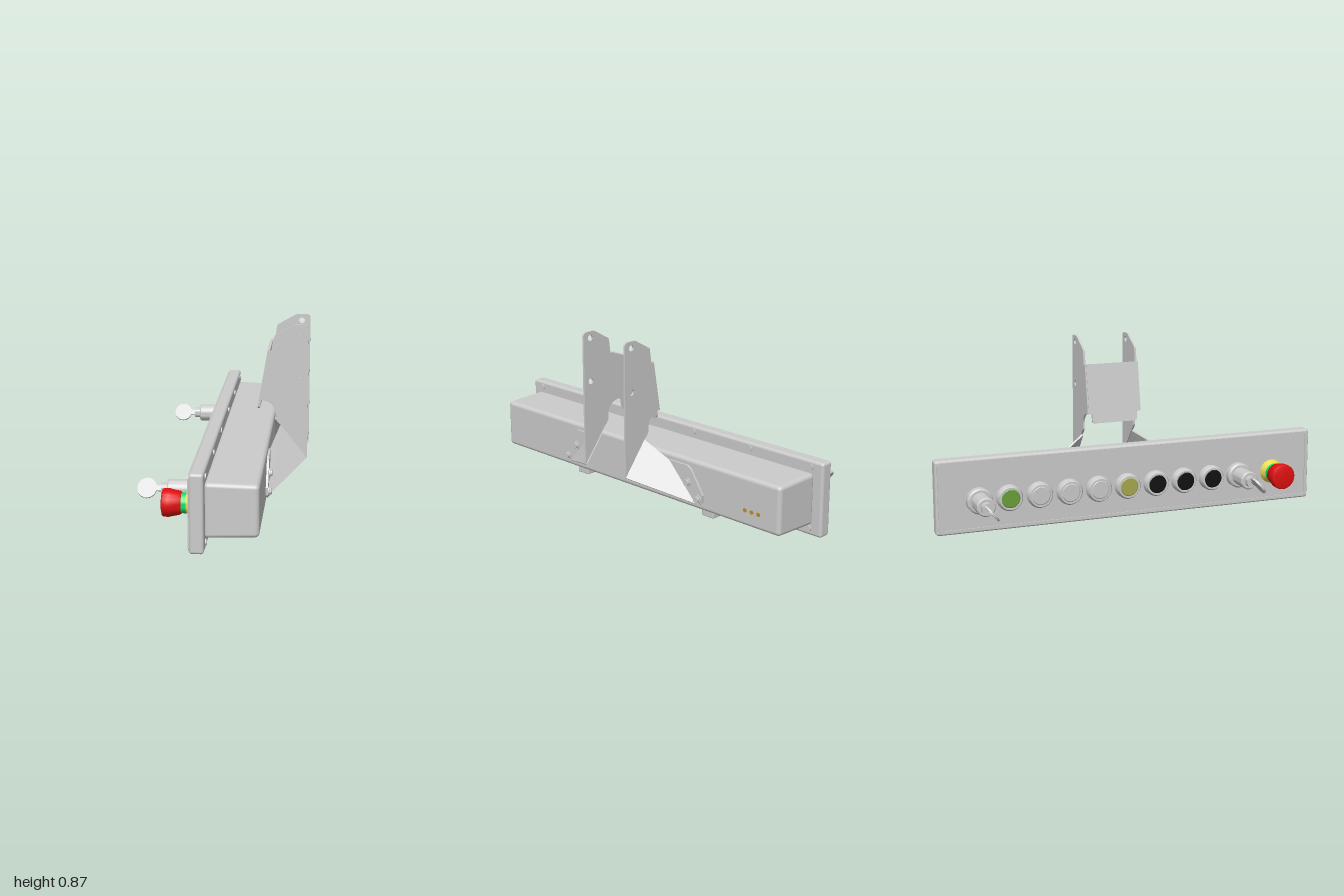
import * as THREE from 'three';
import { RoundedBoxGeometry } from 'three/addons/geometries/RoundedBoxGeometry.js';
import { ConvexGeometry } from 'three/addons/geometries/ConvexGeometry.js';
import { toCreasedNormals } from 'three/addons/utils/BufferGeometryUtils.js';

const mat = (color) => new THREE.MeshStandardMaterial({ color });
const GREY = mat(0xcccccc), RED = mat(0xe01010), GREEN = mat(0x10e070), YELLOW = mat(0xe8dc50);
const BLACK = mat(0x111111), LENS_GREEN = mat(0x6aa038), LENS_YELLOW = mat(0xa8a850), AMBER = mat(0xc09020);
const FACE = -0.1;      // x of the control panel face
const AXIS_Y = 0.168;   // height of the row of controls

export function createModel() {
  const root = new THREE.Group();

  const add = (name, geo, x = 0, y = 0, z = 0, material = GREY, parent = root) => {
    const m = new THREE.Mesh(geo, material);
    m.name = name;
    m.position.set(x, y, z);
    parent.add(m);
    return m;
  };
  // Turned part on the panel: [radius, distance out from the face]
  const turned = (name, profile, z, material = GREY) => {
    const geo = new THREE.LatheGeometry(profile.map(([r, d]) => new THREE.Vector2(r, d)), 36);
    geo.rotateZ(Math.PI / 2);
    return add(name, toCreasedNormals(geo, 0.6), FACE, AXIS_Y, z, material);
  };
  // Disc or stud with its axis along x
  const stud = (name, r, len, x, y, z, material = GREY, sides = 20) =>
    add(name, new THREE.CylinderGeometry(r, r, len, sides).rotateZ(Math.PI / 2), x, y, z, material);
  // Flat convex plate from corner points, thickened along an offset
  const plate = (name, pts, offset) => {
    const a = pts.map((p) => new THREE.Vector3(...p));
    return add(name, new ConvexGeometry([...a, ...a.map((p) => p.clone().add(offset))]));
  };

  // Front cover with a raised rim around the panel
  add('frontCover', new RoundedBoxGeometry(0.066, 0.37, 2, 4, 0.014), -0.067, 0.19, 0);
  const rect = (P, w, h, r) => {
    const s = new P();
    s.moveTo(-w + r, -h).lineTo(w - r, -h).quadraticCurveTo(w, -h, w, -h + r)
      .lineTo(w, h - r).quadraticCurveTo(w, h, w - r, h).lineTo(-w + r, h)
      .quadraticCurveTo(-w, h, -w, h - r).lineTo(-w, -h + r).quadraticCurveTo(-w, -h, -w + r, -h);
    return s;
  };
  const rim = rect(THREE.Shape, 0.99, 0.175, 0.02);
  rim.holes.push(rect(THREE.Path, 0.975, 0.16, 0.012));
  const rimGeo = new THREE.ExtrudeGeometry(rim, { depth: 0.008, bevelEnabled: false });
  add('panelRim', rimGeo.rotateY(-Math.PI / 2), -0.097, 0.19, 0);

  // Housing box, tapering slightly to the back
  const body = new RoundedBoxGeometry(0.245, 0.257, 1.9, 4, 0.02);
  const p = body.attributes.position;
  for (let i = 0; i < p.count; i++) {
    const t = (p.getX(i) + 0.1225) / 0.245;
    p.setY(i, p.getY(i) * (1 - 0.06 * t));
    p.setZ(i, p.getZ(i) * (1 - 0.008 * t));
  }
  add('housing', body, 0.0825, 0.19, 0);

  // Cover screws and indicator lamps
  for (const z of [-0.93, -0.565, -0.2, 0.2, 0.57, 0.93])
    for (const y of [0.04, 0.345]) stud('coverScrew', 0.015, 0.012, -0.034, y, z);
  for (const z of [-0.74, -0.78, -0.82]) stud('indicatorLamp', 0.01, 0.008, 0.205, 0.148, z, AMBER, 12);

  // Row of push buttons
  const lenses = [LENS_GREEN, GREY, GREY, GREY, LENS_YELLOW, BLACK, BLACK, BLACK];
  lenses.forEach((lens, i) => {
    const z = -0.64 + i * 0.153;
    turned('buttonBezel', [[0.064, -0.005], [0.064, 0.026], [0.056, 0.04], [0.047, 0.04], [0.047, 0.03]], z);
    turned('buttonLens', [[0.047, 0.03], [0.047, 0.036], [0.043, 0.039], [0, 0.039]], z, lens);
  });

  // Key switches with the keys turned part way
  for (const z of [-0.79, 0.585]) {
    turned('keySwitch', [[0.064, -0.005], [0.064, 0.03], [0.056, 0.038], [0.046, 0.038], [0.046, 0.14],
      [0.041, 0.146], [0.028, 0.146], [0.028, 0.176], [0, 0.176]], z);
    const key = new THREE.Group();
    key.name = 'key';
    key.position.set(0, AXIS_Y, z);
    key.rotation.x = Math.atan2(0.77, 0.63);
    root.add(key);
    const bow = new THREE.CylinderGeometry(0.046, 0.046, 0.01, 32).scale(1, 1, 1.08);
    add('keyBow', bow, -0.344, 0, 0, GREY, key);
    add('keyBlade', new THREE.BoxGeometry(0.05, 0.01, 0.026), -0.285, 0, 0, GREY, key);
  }

  // Emergency stop
  turned('stopCollar', [[0.062, 0], [0.06, 0.012], [0.048, 0.03], [0.048, 0.034]], 0.78, YELLOW);
  turned('stopBand', [[0.047, 0.03], [0.047, 0.06]], 0.78, GREEN);
  turned('stopButton', [[0, 0.057], [0.05, 0.057], [0.054, 0.063], [0.063, 0.105], [0.065, 0.112],
    [0.065, 0.136], [0.061, 0.143], [0.05, 0.146], [0, 0.146]], 0.78, RED);

  // Bracket side plates with mounting holes
  const side = new THREE.Shape();
  side.moveTo(0.388, 0.2).lineTo(0.388, 0.85).quadraticCurveTo(0.388, 0.87, 0.368, 0.87)
    .lineTo(0.325, 0.87).quadraticCurveTo(0.318, 0.87, 0.31, 0.865).lineTo(0.228, 0.818)
    .quadraticCurveTo(0.22, 0.813, 0.219, 0.805).lineTo(0.21, 0.737).lineTo(0.192, 0.739)
    .lineTo(0.15, 0.49).bezierCurveTo(0.195, 0.492, 0.23, 0.465, 0.23, 0.42)
    .lineTo(0.23, 0.4).quadraticCurveTo(0.235, 0.385, 0.258, 0.365);
  for (const y of [0.838, 0.62]) side.holes.push(new THREE.Path().absarc(0.345, y, 0.015, 0, Math.PI * 2, true));
  const sideGeo = new THREE.ExtrudeGeometry(side, { depth: 0.01, bevelEnabled: false, curveSegments: 16 });

  for (const s of [1, -1]) {
    add('bracketSide', sideGeo, 0, 0, s * 0.14 - 0.005);
    // Splayed wing folding down to a tab on the housing
    plate('bracketWing', [[0.258, 0.365, s * 0.14], [0.388, 0.2, s * 0.14], [0.216, 0.1, s * 0.44], [0.216, 0.28, s * 0.27]],
      new THREE.Vector3(-0.006, -0.005, s * -0.005));
    plate('bracketTab', [[0.216, 0.1, s * 0.44], [0.216, 0.098, s * 0.465], [0.216, 0.112, s * 0.482],
      [0.216, 0.15, s * 0.485], [0.216, 0.265, s * 0.41], [0.216, 0.28, s * 0.385], [0.216, 0.28, s * 0.27]],
      new THREE.Vector3(-0.012, 0, 0));
    for (const [y, z] of [[0.196, 0.39], [0.126, 0.455]]) {
      stud('tabWasher', 0.023, 0.006, 0.218, y, s * z);
      stud('tabBolt', 0.016, 0.016, 0.224, y, s * z);
    }
  }

  // Sloping tie plate between the bracket sides
  const tie = new THREE.Shape();
  tie.moveTo(-0.105, 0).lineTo(0.105, 0).quadraticCurveTo(0.122, 0, 0.122, 0.017).lineTo(0.122, 0.05)
    .lineTo(0.138, 0.05).lineTo(0.138, 0.304).lineTo(-0.138, 0.304).lineTo(-0.138, 0.05)
    .lineTo(-0.122, 0.05).lineTo(-0.122, 0.017).quadraticCurveTo(-0.122, 0, -0.105, 0);
  const tieGeo = new THREE.ExtrudeGeometry(tie, { depth: 0.012, bevelEnabled: false });
  tieGeo.rotateY(Math.PI / 2).rotateZ(-Math.atan2(0.05, 0.3));
  add('bracketTie', tieGeo, 0.139, 0.442, 0);

  // Connectors under the housing
  for (const s of [1, -1]) {
    add('connectorFlange', new THREE.BoxGeometry(0.085, 0.012, 0.25), 0.1, 0.062, s * 0.45);
    add('connectorBody', new RoundedBoxGeometry(0.066, 0.062, 0.075, 2, 0.006), 0.093, 0.034, s * 0.44);
    add('connectorHood', new RoundedBoxGeometry(0.06, 0.03, 0.06, 2, 0.006), 0.093, 0.047, s * 0.535);
  }
  add('roundConnectorNut', new THREE.CylinderGeometry(0.04, 0.04, 0.016, 24), 0.093, 0.06, -0.23);
  add('roundConnector', new THREE.CylinderGeometry(0.028, 0.028, 0.025, 24), 0.093, 0.045, -0.23);

  // Pairs of gussets between the cover flange and the housing
  const rib = new THREE.Shape();
  rib.moveTo(-0.04, 0.008).lineTo(0.025, 0.01).lineTo(0.032, 0.07).lineTo(-0.04, 0.07);
  const ribGeo = new THREE.ExtrudeGeometry(rib, { depth: 0.01, bevelEnabled: false });
  for (const z of [-0.265, -0.085, 0.085, 0.265])
    for (const dz of [-0.035, 0.025]) add('gusset', ribGeo, 0, 0, z + dz);

  return root;
}
